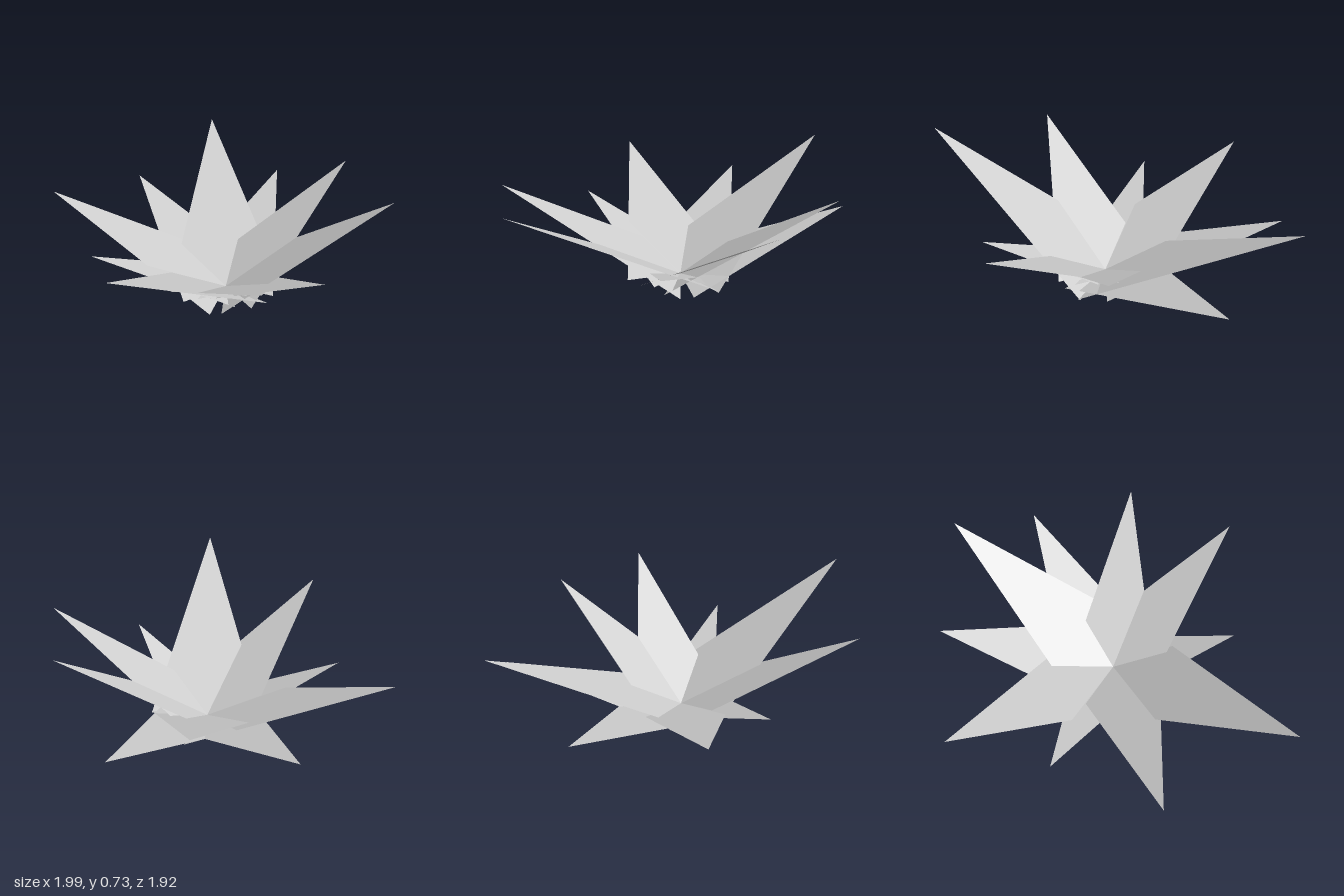
import * as THREE from 'three';

const CENTRE = [0.04, 0.025, -0.04];

// One flat blade: a triangle whose base edge is centred on the rosette
// and whose tip is at (x, y, z). roll lifts one base corner and lowers the other.
function blade(name, [x, y, z, roll = 0], ratio, material) {
  const [cx, cy, cz] = CENTRE;
  const dx = x - cx, dz = z - cz;
  const px = dz * ratio, pz = -dx * ratio;
  const geometry = new THREE.BufferGeometry();
  geometry.setAttribute('position', new THREE.Float32BufferAttribute([
    cx + px, cy + roll, cz + pz,
    x, y, z,
    cx - px, cy - roll, cz - pz,
  ], 3));
  geometry.setIndex([0, 2, 1]);
  geometry.computeVertexNormals();
  const mesh = new THREE.Mesh(geometry, material);
  mesh.name = name;
  return mesh;
}

export function createModel() {
  const group = new THREE.Group();
  group.name = 'leafRosette';
  const leafGrey = new THREE.MeshStandardMaterial({ color: 0xcccccc, side: THREE.DoubleSide });
  leafGrey.name = 'leafGrey';

  // Large steep leaves
  const upper = [
    [0.99, 0.74, 0.62, 0.015],
    [0.27, 0.60, 0.96, -0.005],
    [-0.91, 0.51, 0.54, 0.01],
    [-0.88, 0.66, -0.74, -0.015],
    [0.17, 0.64, -0.94, 0.01],
    [0.74, 0.65, -0.68, 0.01],
  ];
  upper.forEach((tip) => group.add(blade('upperLeaf', tip, 0.295, leafGrey)));

  // Shallow leaves in the gaps
  const lower = [
    [-1.0, 0.36, -0.18],
    [-0.44, 0.355, -0.96],
    [0.76, 0.365, -0.10],
    [-0.34, 0.35, 0.66],
  ];
  lower.forEach((tip) => group.add(blade('lowerLeaf', tip, 0.29, leafGrey)));

  // Small leaves hidden at the heart
  for (let i = 0; i < 6; i++) {
    const angle = 0.3 + (i / 6) * Math.PI * 2;
    const tip = [
      CENTRE[0] + 0.29 * Math.cos(angle),
      i % 2 ? 0.09 : 0.13,
      CENTRE[2] + 0.29 * Math.sin(angle),
    ];
    group.add(blade('innerLeaf', tip, 0.3, leafGrey));
  }
  return group;
}
